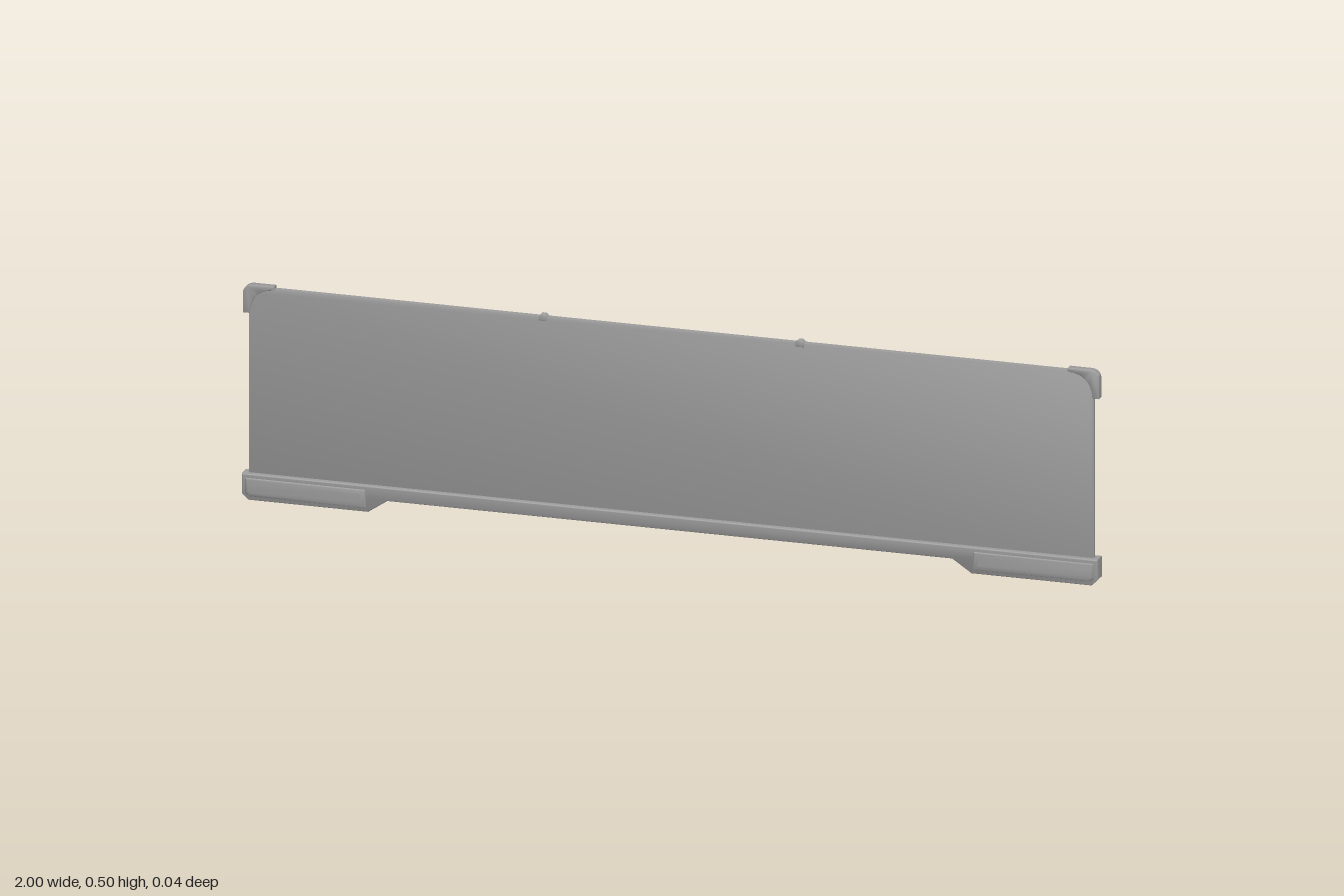
import * as THREE from 'three';
import { toCreasedNormals } from 'three/addons/utils/BufferGeometryUtils.js';

const material = new THREE.MeshStandardMaterial({ color: 0x9c9c9c });

// Outline extruded between two z planes, its rims rounded inside the outline
function plate(name, shape, zBack, zFront, round, inset = round) {
  const geometry = new THREE.ExtrudeGeometry(shape, {
    depth: zFront - zBack - 2 * round,
    bevelThickness: round,
    bevelSize: inset,
    bevelOffset: -inset,
    bevelSegments: 4,
    curveSegments: 8,
  });
  geometry.translate(0, 0, zBack + round);
  const mesh = new THREE.Mesh(toCreasedNormals(geometry, 0.6), material);
  mesh.name = name;
  return mesh;
}

function polygon(points) {
  return new THREE.Shape(points.map(([x, y]) => new THREE.Vector2(x, y)));
}

// Full outline from its right half, listed from bottom to top
function symmetric(half) {
  return polygon([...half, ...half.map(([x, y]) => [-x, y]).reverse()]);
}

// Corner cap outline: rounded outside, curved inside
function capShape(s) {
  const shape = new THREE.Shape();
  shape.moveTo(s * 0.985, 0.437);
  shape.lineTo(s * 1, 0.437);
  shape.lineTo(s * 1, 0.485);
  shape.quadraticCurveTo(s * 0.998, 0.501, s * 0.98, 0.503);
  shape.lineTo(s * 0.927, 0.503);
  shape.lineTo(s * 0.927, 0.495);
  shape.bezierCurveTo(s * 0.965, 0.492, s * 0.982, 0.475, s * 0.985, 0.437);
  return shape;
}

export function createModel() {
  const model = new THREE.Group();
  model.name = 'panelScreen';

  // Thin main sheet, its lower edge held in the base rail
  model.add(plate('panel', symmetric([
    [0.987, 0.04], [0.987, 0.485], [0.975, 0.498],
  ]), -0.008, 0.003, 0.001));

  // Base rail with a raised middle and two feet
  model.add(plate('baseRail', symmetric([
    [0.66, 0.031], [0.705, 0.001], [0.985, 0.001],
    [1, 0.015], [1, 0.062],
  ]), -0.02, 0.016, 0.003));

  for (const s of [-1, 1]) {
    const side = s > 0 ? 'left' : 'right';

    // Cap over the upper corner
    model.add(plate(side + 'CornerCap', capShape(s), -0.013, 0.007, 0.0015));

    // Low pad swelling gently from the front of the foot
    model.add(plate(side + 'FootPad', polygon([
      [s * 0.71, 0.01], [s * 0.982, 0.01], [s * 0.992, 0.018],
      [s * 0.992, 0.053], [s * 0.71, 0.053],
    ]), 0.01, 0.02, 0.0045, 0.012));

    // Small clip over the top edge
    model.add(plate(side + 'TopClip', polygon([
      [s * 0.29, 0.488], [s * 0.31, 0.488], [s * 0.31, 0.498],
      [s * 0.305, 0.503], [s * 0.295, 0.503], [s * 0.29, 0.498],
    ]), -0.011, 0.006, 0.001));
  }

  return model;
}
